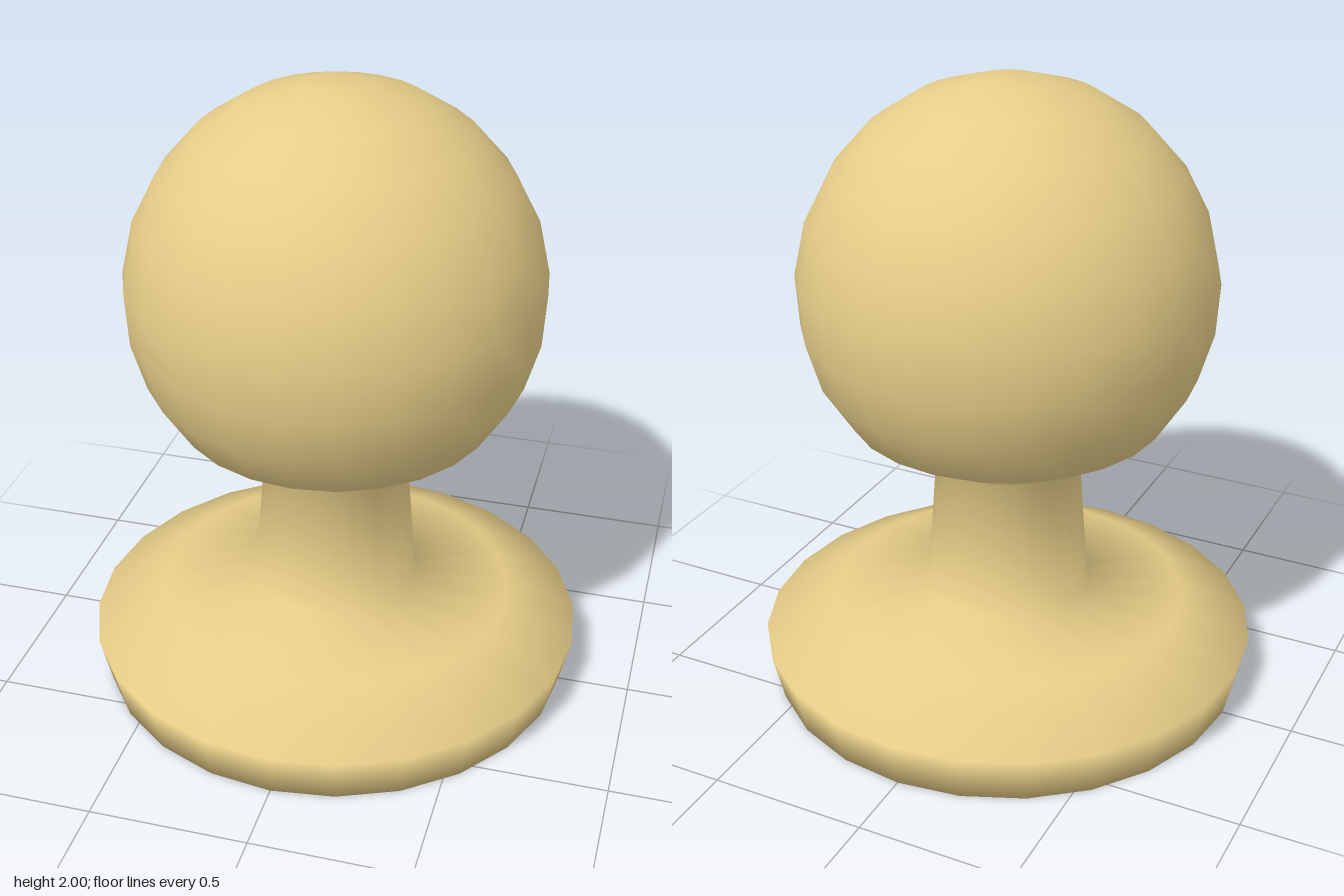
import * as THREE from 'three';

const SIDES = 24;

export function createModel() {
  const group = new THREE.Group();
  group.name = 'pawn';

  // Half-profile [radius, height], from the centre of the underside to the top
  const foot = [[0, 0], [0.77, 0], [0.805, 0.155], [0.575, 0.27], [0.265, 0.307]];
  const neck = [[0.23, 0.775]];
  const head = [
    [0.5, 0.93], [0.595, 1.08], [0.64, 1.235], [0.65, 1.4], [0.612, 1.57],
    [0.535, 1.72], [0.42, 1.85], [0.275, 1.943], [0.115, 1.992], [0, 2],
  ];
  const profile = [...foot, ...neck, ...head].map(([r, y]) => new THREE.Vector2(r, y));

  // One continuous turned body: foot, neck and ball head share smooth normals
  const body = new THREE.Mesh(
    new THREE.LatheGeometry(profile, SIDES),
    new THREE.MeshStandardMaterial({ color: 0xe6cd88 })
  );
  body.name = 'turnedBody';
  group.add(body);

  return group;
}
